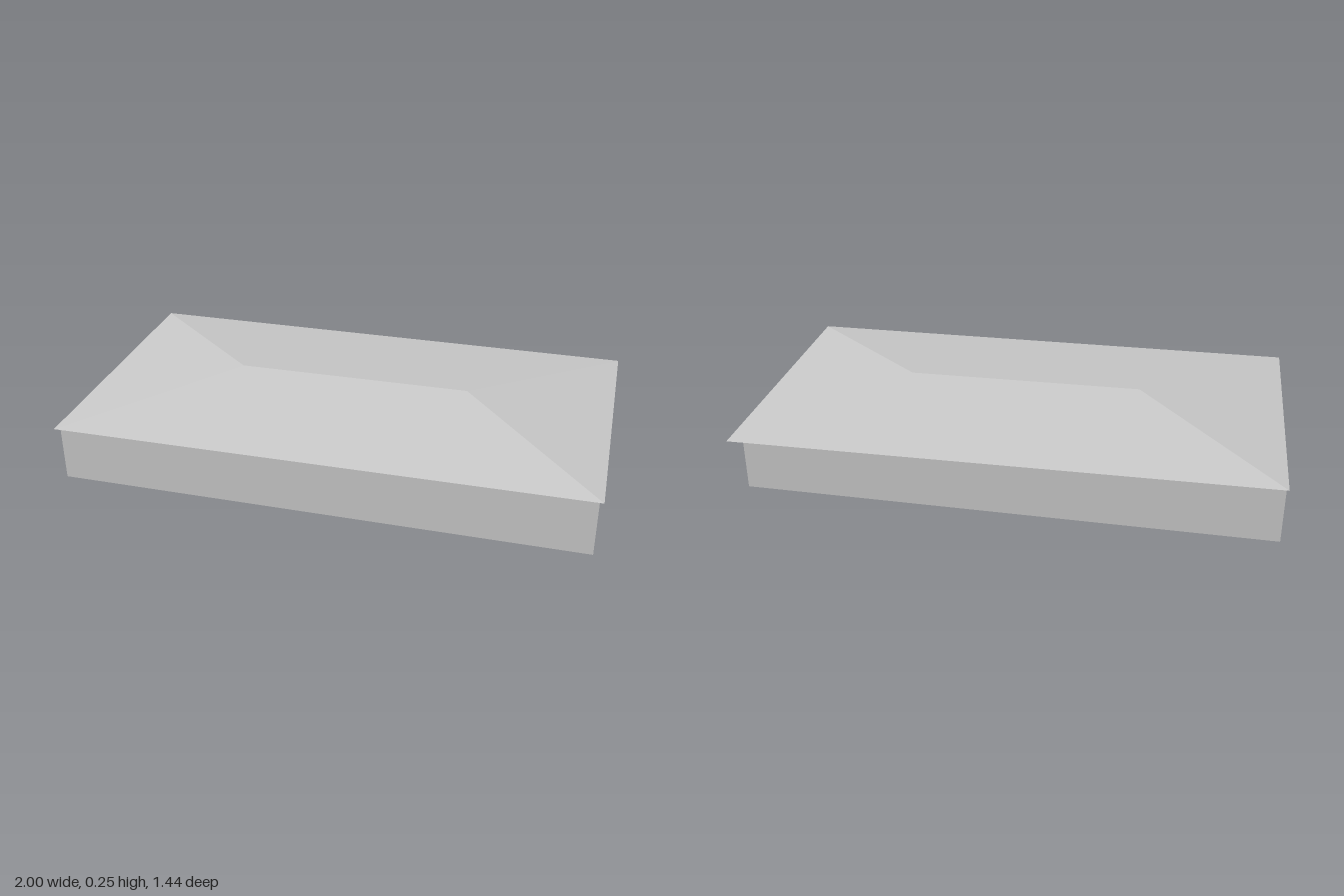
import * as THREE from 'three';

const EAVE = 0.192, RIDGE = 0.252;

// Corner plans [x, z], running front, left, back, right
const wallPlan = [[0.72, 0.711], [0.953, -0.206], [-0.728, -0.705], [-0.981, 0.226]];
const roofPlan = [[0.732, 0.718], [1, -0.237], [-0.732, -0.718], [-1, 0.237]];
const ridgePlan = [[0.39, 0.107], [-0.39, -0.107]];

const at = ([x, z], y) => [x, y, z];

// Flat-shaded surface from convex polygons, corners counter-clockwise from outside
function surface(name, polygons) {
  const points = [];
  for (const p of polygons) {
    for (let i = 1; i < p.length - 1; i++) points.push(...p[0], ...p[i], ...p[i + 1]);
  }
  const geometry = new THREE.BufferGeometry();
  geometry.setAttribute('position', new THREE.Float32BufferAttribute(points, 3));
  geometry.computeVertexNormals();
  const material = new THREE.MeshStandardMaterial({
    color: 0xcccccc, flatShading: true, side: THREE.DoubleSide,
  });
  const mesh = new THREE.Mesh(geometry, material);
  mesh.name = name;
  return mesh;
}

export function createModel() {
  const model = new THREE.Group();
  model.name = 'hippedRoofBuilding';

  // Open-bottomed ring of thin walls
  const walls = wallPlan.map((a, i) => {
    const b = wallPlan[(i + 1) % 4];
    return [at(a, 0), at(b, 0), at(b, EAVE), at(a, EAVE)];
  });
  model.add(surface('walls', walls));

  // Hipped roof: two triangular ends and two long slopes meeting at the ridge
  const [e0, e1, e2, e3] = roofPlan.map((p) => at(p, EAVE));
  const [r0, r1] = ridgePlan.map((p) => at(p, RIDGE));
  model.add(surface('roof', [
    [e0, e1, r0],
    [e1, e2, r1, r0],
    [e2, e3, r1],
    [e3, e0, r0, r1],
  ]));

  return model;
}
